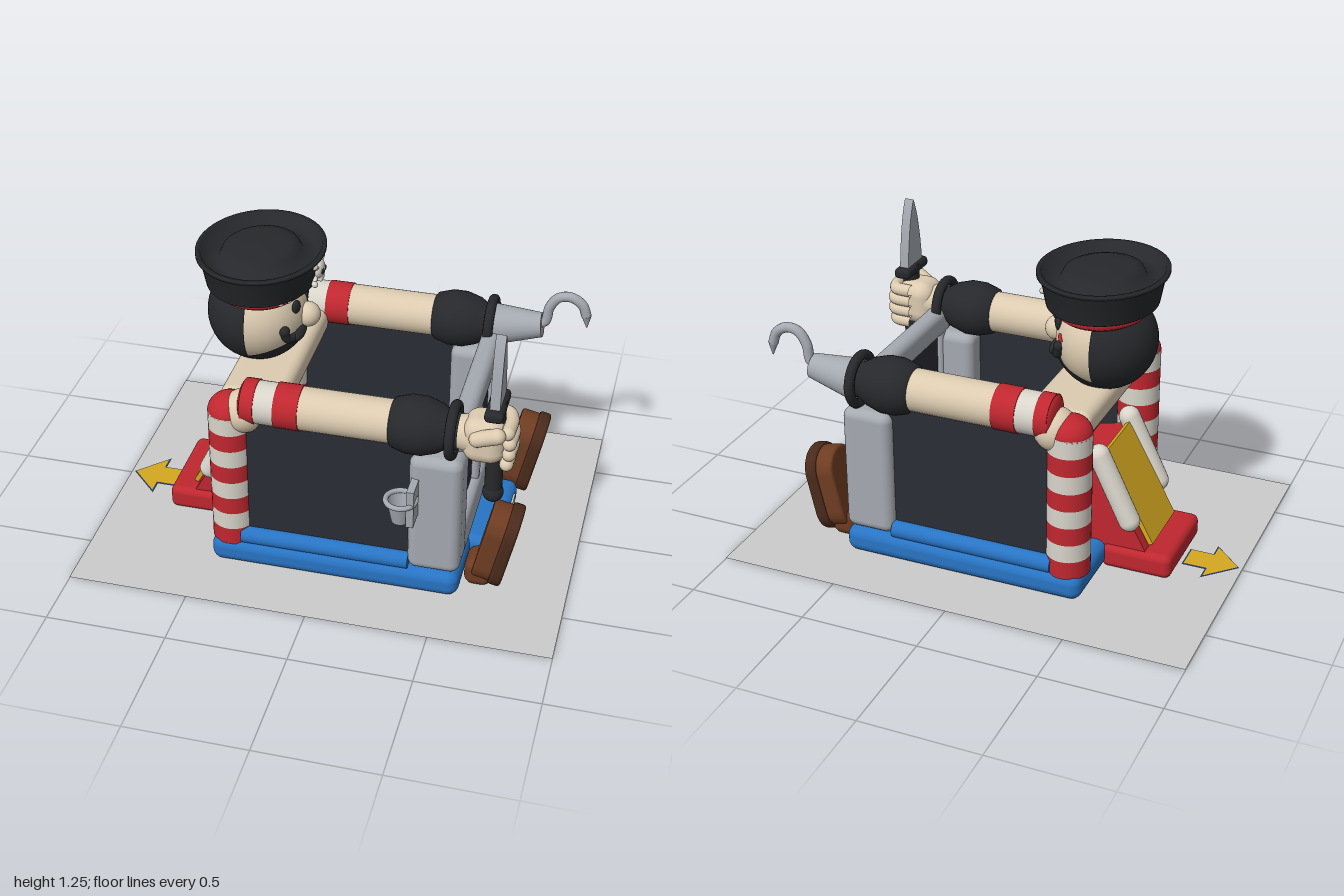
import * as THREE from 'three';
import { RoundedBoxGeometry } from 'three/addons/geometries/RoundedBoxGeometry.js';

const mat = (color, side = THREE.FrontSide) => new THREE.MeshStandardMaterial({ color, side });
const M = {
  ground: mat(0xcccccc, THREE.DoubleSide), grey: mat(0xa5a9b0, THREE.DoubleSide), skin: mat(0xdccbb0), cream: mat(0xd9d5cb),
  red: mat(0xc0272f), black: mat(0x26282b, THREE.DoubleSide), panel: mat(0x2a2d35), blue: mat(0x2874c4),
  green: mat(0x55b03c), groove: mat(0x3f8a2c), brown: mat(0x6e3c22), sole: mat(0x4a2a1b), yellow: mat(0xd4a820), navy: mat(0x22335c),
};
const V = (x, y, z) => new THREE.Vector3(x, y, z);

export function createModel() {
  const root = new THREE.Group();
  const add = (name, geo, m, x = 0, y = 0, z = 0, parent = root) => {
    const mesh = new THREE.Mesh(geo, M[m]);
    mesh.name = name;
    mesh.position.set(x, y, z);
    parent.add(mesh);
    return mesh;
  };
  // box given by its limits, with rounded edges when r > 0
  const box = (name, m, x0, x1, y0, y1, z0, z1, r = 0) => {
    const w = x1 - x0, h = y1 - y0, d = z1 - z0;
    const g = r ? new RoundedBoxGeometry(w, h, d, 4, r) : new THREE.BoxGeometry(w, h, d);
    return add(name, g, m, (x0 + x1) / 2, (y0 + y1) / 2, (z0 + z1) / 2);
  };
  const ball = (name, m, r, x, y, z, sx = 1, sy = 1, sz = 1) => {
    const b = add(name, new THREE.SphereGeometry(r, 28, 20), m, x, y, z);
    b.scale.set(sx, sy, sz);
    return b;
  };
  // round bar or cone between two points, optionally with domed ends
  const rod = (name, m, a, b, r0, r1 = r0, domed = false) => {
    const len = a.distanceTo(b);
    const g = domed ? new THREE.CapsuleGeometry(r0, len, 8, 24) : new THREE.CylinderGeometry(r1, r0, len, 32);
    const c = a.clone().add(b).multiplyScalar(0.5);
    const mesh = add(name, g, m, c.x, c.y, c.z);
    mesh.quaternion.setFromUnitVectors(V(0, 1, 0), b.clone().sub(a).normalize());
    return mesh;
  };
  const tube = (name, m, pts, r) =>
    add(name, new THREE.TubeGeometry(new THREE.CatmullRomCurve3(pts), 40, r, 14), m);
  const shape = pts => new THREE.Shape(pts.map(p => new THREE.Vector2(p[0], p[1])));

  // ground sheet, inflatable base and floor
  add('ground', new THREE.PlaneGeometry(2, 1.5).rotateX(-Math.PI / 2), 'ground', 0, 0.003, 0);
  box('base', 'blue', -0.47, 0.57, 0, 0.115, -0.5, 0.5, 0.045);
  box('frontStep', 'blue', 0.54, 0.695, 0, 0.11, -0.23, 0.23, 0.04);
  box('stepPlate', 'cream', 0.69, 0.698, 0.035, 0.09, -0.14, 0.14);
  box('floor', 'green', -0.38, 0.49, 0.1, 0.13, -0.42, 0.42);
  for (const z of [-0.28, -0.14, 0, 0.14, 0.28]) box('floorSeam', 'groove', -0.38, 0.47, 0.128, 0.132, z - 0.003, z + 0.003);

  // side walls, pillars and arms, mirrored
  for (const s of [1, -1]) {
    const z = s * 0.405;
    box('sideWall', 'panel', -0.34, 0.4, 0.12, 0.74, s * 0.43 - 0.02, s * 0.43 + 0.02);
    rod('sideTube', 'blue', V(-0.34, 0.135, s * 0.455), V(0.36, 0.135, s * 0.455), 0.038);
    box('frontPillar', 'grey', 0.355, 0.57, 0.115, 0.665, z - 0.085, z + 0.085, 0.04);
    box('frontPost', 'grey', 0.49, 0.56, 0.2, 0.7, s * 0.335 - 0.025, s * 0.335 + 0.025, 0.02);

    // striped back pillar
    const h = 0.62 / 8;
    for (let i = 0; i < 8; i++) {
      const y = 0.1 + i * h;
      rod('pillarStripe', i % 2 ? 'cream' : 'red', V(-0.39, y, z), V(-0.39, y + h, z), 0.09);
    }
    ball('pillarDome', 'red', 0.09, -0.39, 0.715, z, 1, 0.85, 1);
    ball('shoulder', 'skin', 0.09, -0.33, 0.72, z);

    // arm: stripes, bare forearm, cuff
    const bands = [['red', -0.325, -0.27], ['cream', -0.27, -0.19], ['red', -0.19, -0.09], ['skin', -0.09, 0.32]];
    for (const [m, a, b] of bands) rod('armBand', m, V(a, 0.77, z), V(b, 0.77, z), m === 'red' ? 0.092 : 0.088);
    ball('shoulderCap', 'red', 0.09, -0.32, 0.77, z, 0.3, 1, 1);
    const cuff = [[0, 0.25], [0.06, 0.25], [0.1, 0.28], [0.118, 0.34], [0.118, 0.4], [0.1, 0.46], [0.075, 0.5], [0.075, 0.54]];
    add('cuff', new THREE.LatheGeometry(cuff.map(p => new THREE.Vector2(p[0], p[1])), 36).rotateZ(-Math.PI / 2), 'black', 0, 0.77, z);
    add('cuffRing', new THREE.TorusGeometry(0.1, 0.021, 12, 40).rotateY(Math.PI / 2), 'black', 0.515, 0.77, z);

    // shoe with tilted upright sole
    const shoe = new THREE.Group();
    shoe.name = 'shoe';
    shoe.position.set(0.69, 0.2, s * 0.33);
    shoe.rotation.z = -0.22;
    root.add(shoe);
    const layer = (name, m, r, x, d) => {
      const sh = new THREE.Shape();
      sh.absarc(0, 0.085, r, 0, Math.PI);
      sh.absarc(0, -0.085, r, Math.PI, Math.PI * 2);
      sh.closePath();
      const g = new THREE.ExtrudeGeometry(sh, { depth: d, bevelEnabled: true, bevelSize: 0.012, bevelThickness: 0.012, bevelSegments: 3, curveSegments: 20 });
      add(name, g.rotateY(Math.PI / 2), m, x, 0, 0, shoe);
    };
    layer('shoeUpper', 'brown', 0.085, -0.04, 0.065);
    layer('shoeSole', 'sole', 0.096, 0.034, 0.028);
    box('shoeAnkle', 'brown', 0.575, 0.69, 0, 0.12, s * 0.33 - 0.075, s * 0.33 + 0.075, 0.04);
  }

  // front wall
  box('frontPanel', 'panel', 0.515, 0.53, 0.2, 0.7, -0.34, 0.34);
  box('frontTopBar', 'grey', 0.485, 0.572, 0.65, 0.77, -0.4, 0.4, 0.035);
  box('frontBottomBar', 'grey', 0.485, 0.568, 0.11, 0.27, -0.36, 0.36, 0.03);
  box('frontMiddlePost', 'grey', 0.49, 0.56, 0.25, 0.68, -0.03, 0.03, 0.02);
  box('frontInnerStrip', 'blue', 0.468, 0.49, 0.1, 0.17, -0.36, 0.36);
  box('backBeam', 'skin', -0.45, -0.18, 0.66, 0.775, -0.36, 0.36, 0.04);

  // play pieces on the floor
  const arch = [];
  for (let i = 0; i <= 10; i++) {
    const a = Math.PI * i / 10;
    arch.push(V(-0.05, 0.13 + 0.22 * Math.sin(a), -0.15 + 0.12 * Math.cos(a)));
  }
  tube('playArch', 'cream', arch, 0.04);
  for (const z of [-0.28, -0.015]) ball('archKnob', 'red', 0.02, -0.055, 0.27, z);
  ball('playBall', 'red', 0.055, 0.185, 0.185, 0.21);

  // slide out of the back
  box('slideFoot', 'red', -0.75, -0.45, 0, 0.105, -0.2, 0.2, 0.03);
  const wedge = shape([[-0.65, 0.08], [-0.3, 0.08], [-0.3, 0.45], [-0.43, 0.48]]);
  add('slideBody', new THREE.ExtrudeGeometry(wedge, { depth: 0.36, bevelEnabled: false }), 'red', 0, 0, -0.18);
  const bed = box('slideBed', 'yellow', -0.552, -0.532, 0.09, 0.53, -0.14, 0.14);
  bed.rotation.z = -0.5;
  for (const s of [1, -1]) rod('slideRail', 'cream', V(-0.565, 0.235, s * 0.18), V(-0.43, 0.51, s * 0.18), 0.045, 0.045, true);

  // arrow on the ground
  const arrow = (k) => shape([[-0.98 - k, 0], [-0.865 + k, 0.115 + 2 * k], [-0.865 + k, 0.055 + k], [-0.765 + k, 0.055 + k],
    [-0.765 + k, -0.055 - k], [-0.865 + k, -0.055 - k], [-0.865 + k, -0.115 - 2 * k]].reverse());
  add('arrowOutline', new THREE.ShapeGeometry(arrow(0.007)).rotateX(-Math.PI / 2), 'navy', 0, 0.006, 0);
  add('arrow', new THREE.ShapeGeometry(arrow(0)).rotateX(-Math.PI / 2), 'yellow', 0, 0.009, 0);

  // head, hair and beard
  const hx = -0.38, hy = 0.945;
  ball('head', 'skin', 0.2, hx, hy, 0);
  add('hair', new THREE.SphereGeometry(0.207, 32, 24, -Math.PI / 2, Math.PI), 'black', hx - 0.005, hy, 0);
  const beard = add('beard', new THREE.SphereGeometry(0.207, 36, 16, 0, Math.PI * 2, 0, 0.96), 'black', hx, hy, 0);
  beard.quaternion.setFromUnitVectors(V(0, 1, 0), V(0.36, -0.93, 0).normalize());
  ball('nose', 'skin', 0.052, -0.175, 0.95, 0);
  const eye = ball('eye', 'black', 0.027, -0.204, 1.02, 0.07, 0.5, 1.05, 0.9);
  eye.rotation.y = -0.35;
  const patch = ball('eyePatch', 'black', 0.04, -0.209, 1.02, -0.08, 0.4, 1, 0.95);
  patch.rotation.y = 0.4;
  tube('patchStrap', 'black', [V(-0.2, 1.045, -0.095), V(-0.25, 1.06, -0.12), V(-0.33, 1.065, -0.16)], 0.008);
  tube('scar', 'red', [V(-0.235, 0.98, -0.12), V(-0.24, 0.985, -0.145), V(-0.25, 0.965, -0.155)], 0.007);
  for (const s of [1, -1]) {
    const side = ball('moustache', 'black', 0.05, -0.195, 0.9, s * 0.055, 0.5, 0.5, 1.3);
    side.rotation.x = s * 0.1;
    tube('moustacheTip', 'black', [V(-0.2, 0.895, s * 0.09), V(-0.225, 0.9, s * 0.13), V(-0.235, 0.935, s * 0.145)], 0.018);
    ball('moustacheCurl', 'black', 0.022, -0.235, 0.94, s * 0.14);
  }

  // hat, oval in plan
  const hat = new THREE.Group();
  hat.name = 'hat';
  hat.position.set(-0.365, 0, 0);
  hat.scale.set(0.86, 1, 1);
  root.add(hat);
  const lathe = (name, m, pts) =>
    add(name, new THREE.LatheGeometry(pts.map(p => new THREE.Vector2(p[0], p[1])), 48), m, 0, 0, 0, hat);
  lathe('hatBand', 'red', [[0, 1.055], [0.195, 1.055], [0.213, 1.068], [0.213, 1.09], [0.195, 1.104], [0, 1.104]]);
  lathe('hatBody', 'black', [[0, 1.1], [0.25, 1.1], [0.258, 1.105], [0.283, 1.22], [0.302, 1.23], [0.302, 1.243], [0.28, 1.243],
    [0.255, 1.2], [0.2, 1.2], [0.18, 1.235], [0.14, 1.248], [0, 1.252]]);
  for (let i = -4; i <= 4; i++) {
    const a = i * 0.21;
    add('bandStud', new THREE.SphereGeometry(0.011, 12, 8), 'cream', 0.214 * Math.cos(a), 1.08, 0.214 * Math.sin(a), hat);
  }

  // skull and crossed bones on the hat
  ball('skull', 'cream', 0.042, -0.125, 1.17, 0, 0.5, 0.9, 1);
  box('skullJaw', 'cream', -0.138, -0.108, 1.12, 1.15, -0.022, 0.022, 0.008);
  for (const s of [1, -1]) {
    ball('skullEye', 'black', 0.012, -0.107, 1.168, s * 0.016, 0.5, 1, 1);
    rod('crossBone', 'cream', V(-0.135, 1.125, -s * 0.055), V(-0.125, 1.205, s * 0.055), 0.009);
    for (const [y, z] of [[1.125, -s * 0.055], [1.205, s * 0.055]]) ball('boneEnd', 'cream', 0.013, -0.13, y, z);
  }

  // hand holding a knife
  const kz = 0.405, kx = 0.68;
  rod('wrist', 'skin', V(0.52, 0.77, kz), V(0.6, 0.77, kz), 0.065, 0.08);
  box('palm', 'skin', 0.555, 0.725, 0.67, 0.865, kz - 0.085, kz + 0.085, 0.06);
  for (let i = 0; i < 4; i++) {
    const y = 0.692 + i * 0.048, x = 0.735 + (i % 3 ? 0.008 : 0);
    tube('finger', 'skin', [V(0.64, y, kz - 0.085), V(x - 0.02, y, kz - 0.075), V(x, y, kz - 0.03), V(x, y, kz + 0.065)], 0.027);
    ball('fingerTip', 'skin', 0.027, x, y, kz + 0.065);
  }
  rod('thumb', 'skin', V(0.62, 0.8, kz + 0.08), V(0.7, 0.84, kz + 0.1), 0.032, 0.032, true);
  rod('knifeHandle', 'black', V(kx, 0.5, kz), V(kx, 0.93, kz), 0.035);
  ball('knifePommel', 'black', 0.042, kx, 0.505, kz);
  box('knifeGuard', 'black', kx - 0.037, kx + 0.037, 0.89, 0.935, kz - 0.1, kz + 0.1, 0.018);
  const blade = new THREE.Shape();
  blade.moveTo(-0.068, 0.93);
  blade.lineTo(0.068, 0.93);
  blade.quadraticCurveTo(0.05, 1.14, 0, 1.23);
  blade.quadraticCurveTo(-0.05, 1.14, -0.068, 0.93);
  const bladeGeo = new THREE.ExtrudeGeometry(blade, { depth: 0.04, bevelEnabled: false, curveSegments: 16 });
  add('knifeBlade', bladeGeo.rotateY(Math.PI / 2), 'grey', kx - 0.02, 0, kz);

  // hook hand
  rod('hookSocket', 'grey', V(0.52, 0.765, -0.405), V(0.73, 0.79, -0.405), 0.09, 0.052);
  tube('hook', 'grey', [V(0.69, 0.79, -0.405), V(0.74, 0.81, -0.405), V(0.755, 0.88, -0.405), V(0.79, 0.93, -0.405),
    V(0.84, 0.94, -0.405), V(0.89, 0.91, -0.405), V(0.91, 0.86, -0.405)], 0.021);
  rod('hookPoint', 'grey', V(0.91, 0.862, -0.405), V(0.915, 0.805, -0.405), 0.021, 0.002);

  // ball hoop on the side
  box('hoopBoard', 'grey', 0.37, 0.4, 0.4, 0.57, 0.47, 0.58);
  add('hoopRim', new THREE.TorusGeometry(0.06, 0.011, 10, 32).rotateX(Math.PI / 2), 'grey', 0.34, 0.5, 0.54);
  add('hoopNet', new THREE.CylinderGeometry(0.056, 0.036, 0.1, 24, 1, true), 'grey', 0.34, 0.45, 0.54);

  return root;
}
